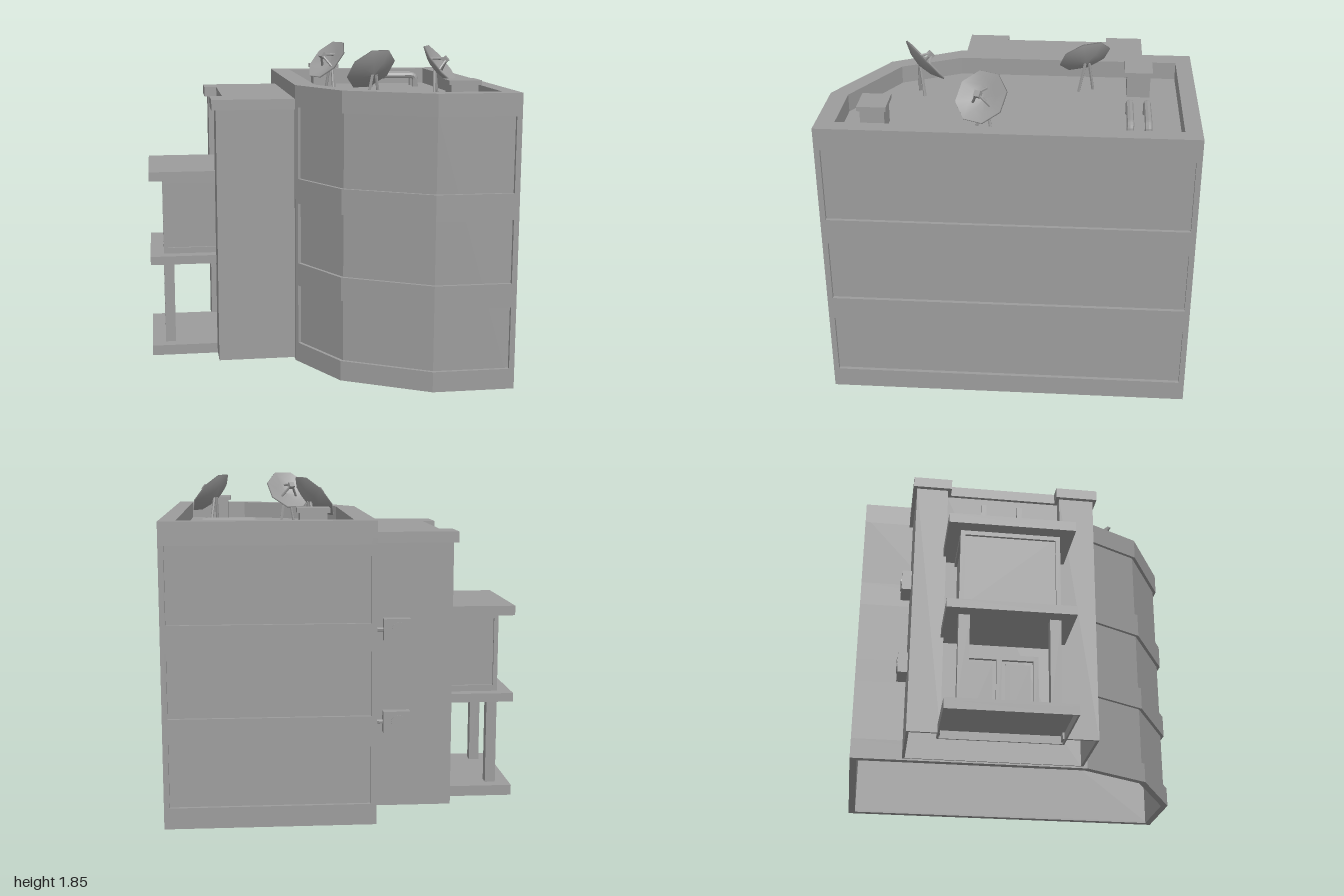
import * as THREE from 'three';

const grey = new THREE.MeshStandardMaterial({ color: 0x9c9c9c, flatShading: true });
const smooth = new THREE.MeshStandardMaterial({ color: 0x9c9c9c, side: THREE.DoubleSide });

function add(parent, name, geometry, material = grey) {
  const mesh = new THREE.Mesh(geometry, material);
  mesh.name = name;
  parent.add(mesh);
  return mesh;
}

// Box given by its limits on each axis
function box(parent, name, x0, x1, y0, y1, z0, z1) {
  const mesh = add(parent, name, new THREE.BoxGeometry(x1 - x0, y1 - y0, z1 - z0));
  mesh.position.set((x0 + x1) / 2, (y0 + y1) / 2, (z0 + z1) / 2);
  return mesh;
}

// Upright prism over a plan of [x, z] points, with an optional hole
function prism(parent, name, plan, y0, y1, hole) {
  const pts = p => p.map(([x, z]) => new THREE.Vector2(x, -z));
  const shape = new THREE.Shape(pts(plan));
  // a hole runs the opposite way round
  if (hole) shape.holes.push(new THREE.Path(pts(hole).reverse()));
  const geo = new THREE.ExtrudeGeometry(shape, { depth: y1 - y0, bevelEnabled: false });
  geo.rotateX(-Math.PI / 2).translate(0, y0, 0);
  return add(parent, name, geo);
}

// Move every side of a plan inward by d
function inset(plan, d) {
  const n = plan.length;
  const normal = (a, b) => {
    const l = Math.hypot(b[0] - a[0], b[1] - a[1]);
    return [-(b[1] - a[1]) / l, (b[0] - a[0]) / l];
  };
  return plan.map((p, i) => {
    const u = normal(plan[(i + n - 1) % n], p);
    const v = normal(p, plan[(i + 1) % n]);
    const k = d / (1 + u[0] * v[0] + u[1] * v[1]);
    return [p[0] + (u[0] + v[0]) * k, p[1] + (u[1] + v[1]) * k];
  });
}

// Straight rod between two points
function rod(parent, name, a, b, r) {
  const from = new THREE.Vector3(...a), to = new THREE.Vector3(...b);
  const dir = to.clone().sub(from);
  const mesh = add(parent, name, new THREE.CylinderGeometry(r, r, dir.length(), 6));
  mesh.position.copy(from).add(to).multiplyScalar(0.5);
  mesh.quaternion.setFromUnitVectors(new THREE.Vector3(0, 1, 0), dir.normalize());
  return mesh;
}

const ROOF = 1.54;

// Hollow block, open underneath
function mainBlock() {
  const g = new THREE.Group();
  g.name = 'mainBlock';
  const plan = [[-0.147, -1], [0.99, -1], [0.99, 1], [0.53, 1], [0.06, 0.74], [-0.147, 0.35]];
  const parapet = [[-0.03, -0.91], [0.9, -0.91], [0.9, 0.9], [0.55, 0.9], [0.13, 0.67], [-0.03, 0.34]];
  const inner = inset(plan, 0.04);
  prism(g, 'windowBands', inset(plan, 0.02), 0.01, 1.53, inner);
  for (const [y0, y1] of [[0, 0.115], [0.465, 0.6], [0.955, 1.1]]) prism(g, 'floorBand', plan, y0, y1, inner);
  prism(g, 'parapet', plan, 1.515, 1.64, parapet);
  prism(g, 'roofDeck', parapet, 1.515, ROOF);
  // corner piers and the plain side wall that close the window bands
  box(g, 'cornerPier', 0.96, 0.99, 0.05, 1.55, -1, -0.97);
  box(g, 'cornerPier', 0.96, 0.99, 0.05, 1.55, 0.97, 1);
  prism(g, 'sideWall', [[-0.147, -1], [-0.117, -1], [-0.117, 0.366], [-0.134, 0.375], [-0.147, 0.35]], 0.05, 1.55);
  return g;
}

function annex() {
  const g = new THREE.Group();
  g.name = 'annex';
  const notched = (x, xn, z0, z1, n0, n1) =>
    [[x, z0], [-0.14, z0], [-0.14, z1], [x, z1], [x, n1], [xn, n1], [xn, n0], [x, n0]];
  const walls = notched(-0.6, -0.53, -0.71, 0.325, -0.53, 0.125);
  prism(g, 'annexWalls', walls, 0.01, 1.5, inset(walls, 0.015));
  prism(g, 'annexCap', notched(-0.625, -0.55, -0.73, 0.345, -0.51, 0.105), 1.5, 1.56);
  // upper window frame in the niche
  for (const z of [-0.33, -0.12]) box(g, 'windowPost', -0.555, -0.525, 1.1, 1.45, z, z + 0.03);
  box(g, 'windowBar', -0.555, -0.525, 1.3, 1.335, -0.32, -0.1);
  // entrance doors in the niche
  for (const z of [-0.42, -0.215, -0.01]) box(g, 'doorPost', -0.55, -0.525, 0.06, 0.5, z - 0.015, z + 0.015);
  box(g, 'doorLintel', -0.55, -0.525, 0.47, 0.5, -0.435, 0.005);
  for (const z of [-0.32, -0.11]) box(g, 'doorLeaf', -0.54, -0.525, 0.08, 0.45, z - 0.07, z + 0.07);
  // air conditioners on the back wall
  for (const y of [0.445, 0.965]) {
    box(g, 'airConditioner', -0.36, -0.21, y, y + 0.12, -0.765, -0.705);
    const fan = add(g, 'fan', new THREE.CylinderGeometry(0.042, 0.042, 0.01, 16));
    fan.rotation.x = Math.PI / 2;
    fan.position.set(-0.295, y + 0.06, -0.765);
    rod(g, 'coolantPipe', [-0.21, y + 0.06, -0.745], [-0.15, y + 0.06, -0.725], 0.012);
  }
  return g;
}

function porch() {
  const g = new THREE.Group();
  g.name = 'porch';
  const slab = [[-0.99, -0.545], [-0.53, -0.545], [-0.53, 0.145], [-0.99, 0.145]];
  // base slab is hollow underneath
  prism(g, 'baseRim', slab, 0, 0.045, inset(slab, 0.01));
  prism(g, 'baseSlab', slab, 0.045, 0.06);
  prism(g, 'middleSlab', slab, 0.56, 0.61);
  prism(g, 'porchRoof', slab, 1.065, 1.12);
  const z0 = -0.475, z1 = 0.07, x0 = -0.91;
  for (const z of [z0, z1 - 0.06]) box(g, 'column', x0, -0.85, 0.06, 0.56, z, z + 0.06);
  // enclosed balcony with recessed glazing
  box(g, 'glazing', x0 + 0.015, -0.53, 0.61, 1.065, z0 + 0.015, z1 - 0.015);
  box(g, 'sill', x0, -0.53, 0.61, 0.645, z0, z1);
  box(g, 'head', x0, -0.53, 1.04, 1.065, z0, z1);
  for (const z of [z0, z1 - 0.025]) box(g, 'cornerPost', x0, x0 + 0.025, 0.645, 1.04, z, z + 0.025);
  return g;
}

// Octagonal dish facing along (nx, nz) and tilted upward
function dish(x, z, nx, nz) {
  const g = new THREE.Group();
  g.name = 'satelliteDish';
  const head = new THREE.Group();
  head.name = 'dishHead';
  const profile = [[0, -0.045], [0.078, -0.032], [0.15, 0], [0.147, 0.009], [0.078, -0.02], [0, -0.033]]
    .map(p => new THREE.Vector2(...p));
  add(head, 'reflector', new THREE.LatheGeometry(profile, 8, Math.PI / 8), smooth);
  for (let i = 0; i < 3; i++) {
    const a = i * Math.PI * 2 / 3 - Math.PI / 2;
    rod(head, 'feedArm', [Math.cos(a) * 0.06, -0.025, Math.sin(a) * 0.06],
      [Math.cos(a) * 0.01, 0.045, Math.sin(a) * 0.01], 0.008);
  }
  box(head, 'feedHorn', -0.017, 0.017, 0.03, 0.06, -0.017, 0.017);
  head.rotation.set(0.87, 0, 0);
  head.position.y = 1.737;
  g.add(head);
  // two splayed legs behind the reflector
  for (const side of [-1, 1]) rod(g, 'standLeg', [side * 0.012, 1.71, -0.03], [side * 0.045, ROOF, -0.02], 0.009);
  g.position.set(x, 0, z);
  g.rotation.y = Math.atan2(nx, nz);
  return g;
}

function roofEquipment() {
  const g = new THREE.Group();
  g.name = 'roofEquipment';
  for (const [x, z] of [[0.173, -0.69], [0.73, 0.722]]) {
    box(g, 'ventBox', x - 0.075, x + 0.075, ROOF, 1.67, z - 0.065, z + 0.065);
    box(g, 'ventCap', x - 0.09, x + 0.09, 1.667, 1.692, z - 0.078, z + 0.078);
  }
  // bent pipes
  for (const z of [-0.73, -0.635]) {
    const v = (x, y) => new THREE.Vector3(x, y, z);
    const path = new THREE.CurvePath();
    path.add(new THREE.LineCurve3(v(0.478, ROOF - 0.01), v(0.478, 1.585)));
    path.add(new THREE.QuadraticBezierCurve3(v(0.478, 1.585), v(0.478, 1.615), v(0.51, 1.615)));
    path.add(new THREE.LineCurve3(v(0.51, 1.615), v(0.75, 1.615)));
    path.add(new THREE.QuadraticBezierCurve3(v(0.75, 1.615), v(0.782, 1.615), v(0.782, 1.585)));
    path.add(new THREE.LineCurve3(v(0.782, 1.585), v(0.782, ROOF - 0.01)));
    add(g, 'bentPipe', new THREE.TubeGeometry(path, 40, 0.02, 8));
  }
  g.add(dish(0.15, -0.385, -0.27, 0.13), dish(0.75, 0.148, 0.27, 0.13), dish(0.263, 0.515, -0.13, -0.27));
  return g;
}

export function createModel() {
  const model = new THREE.Group();
  model.name = 'building';
  model.add(mainBlock(), annex(), porch(), roofEquipment());
  return model;
}
